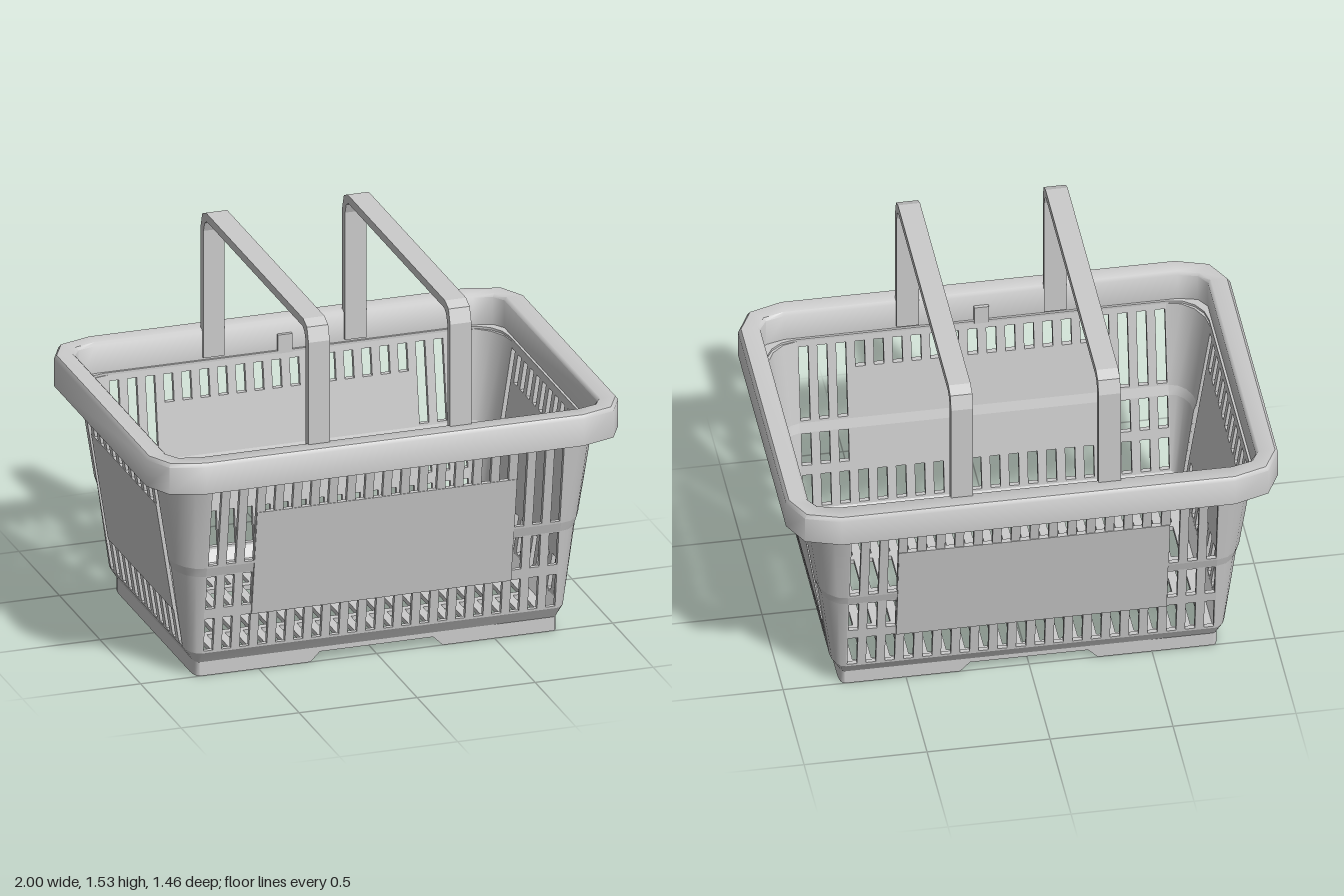
import * as THREE from 'three';
import { toCreasedNormals } from 'three/addons/utils/BufferGeometryUtils.js';

const material = new THREE.MeshStandardMaterial({ color: 0xcccccc });
const HX = 0.92, HZ = 0.65;      // half size of the body under the rim
const CX = 0.75, CZ = 0.44;      // where the flat walls end and corners begin
const THICK = 0.02, PITCH = 0.0763, SLOT = 0.04;

// Inward slope of the walls: one straight, one with a step at mid height
const straight = y => 0.155 * (0.87 - y);
function stepped(y) {
  if (y >= 0.5) return straight(y);
  if (y >= 0.46) return 0.057 + (0.5 - y) / 0.04 * 0.013;
  return 0.07 + (0.46 - y) / 0.35 * 0.048;
}
const footInset = () => 0.15;

function add(parent, name, geometry) {
  const mesh = new THREE.Mesh(geometry, material);
  mesh.name = name;
  parent.add(mesh);
  return mesh;
}

function warp(geometry, rule) {
  const p = geometry.attributes.position;
  for (let i = 0; i < p.count; i++) p.setXYZ(i, ...rule(p.getX(i), p.getY(i), p.getZ(i)));
  geometry.computeVertexNormals();
  return geometry;
}

const polygon = pts => new THREE.Shape(pts.map(([x, y]) => new THREE.Vector2(x, y)));
const rect = (x0, x1, y0, y1) => polygon([[x0, y0], [x1, y0], [x1, y1], [x0, y1]]);
const slot = (x, y0, y1) => rect(x - SLOT / 2, x + SLOT / 2, y0, y1);

// A sloping flat wall with slots, repeated on two opposite sides
function wallPair(parent, name, shape, holes, base, inset, turn) {
  shape.holes.push(...holes);
  const g = new THREE.ExtrudeGeometry(shape, { depth: THICK, bevelEnabled: false });
  warp(g, (u, y, d) => [u, y, base - inset(y) + d - THICK]);
  add(parent, name, g).rotation.y = turn;
  add(parent, name, g).rotation.y = turn + Math.PI;
}

// Four rounded corner pieces between two heights
function corners(parent, name, y0, y1, inset) {
  for (const sx of [1, -1]) for (const sz of [1, -1]) {
    const g = new THREE.BoxGeometry(1, 1, 1, 4, 1, 1);
    warp(g, (u, v, d) => {
      const a = (sx * sz > 0 ? u + 0.5 : 0.5 - u) * Math.PI / 2;
      const y = y0 + (v + 0.5) * (y1 - y0);
      const e = inset(y) + (0.5 - d) * THICK;
      return [sx * (CX + (HX - e - CX) * Math.sin(a)), y, sz * (CZ + (HZ - e - CZ) * Math.cos(a))];
    });
    add(parent, name, toCreasedNormals(g, 0.8));
  }
}

// Closed section [outset, y] swept round a rectangle with rounded corners
function ring(section, cx, cz, segs) {
  const pos = [], index = [], n = section.length, total = 4 * (segs + 1);
  for (let q = 0; q < 4; q++) for (let s = 0; s <= segs; s++) {
    const a = (q + s / segs) * Math.PI / 2;
    const sx = q < 2 ? 1 : -1, sz = q === 0 || q === 3 ? 1 : -1;
    for (const [e, y] of section) {
      pos.push(sx * cx + (HX + e - cx) * Math.sin(a), y, sz * cz + (HZ + e - cz) * Math.cos(a));
    }
  }
  for (let i = 0; i < total; i++) for (let j = 0; j < n; j++) {
    const i2 = (i + 1) % total, j2 = (j + 1) % n;
    const a = i * n + j, b = i2 * n + j, c = i2 * n + j2, d = i * n + j2;
    index.push(a, b, c, a, c, d);
  }
  const g = new THREE.BufferGeometry();
  g.setAttribute('position', new THREE.Float32BufferAttribute(pos, 3));
  g.setIndex(index);
  return toCreasedNormals(g, 0.85);
}

function group(parent, name) {
  const g = new THREE.Group();
  g.name = name;
  parent.add(g);
  return g;
}

export function createModel() {
  const model = new THREE.Group();
  model.name = 'shoppingBasket';

  // Front and back walls: slotted tiers either side of the mid-height step
  const walls = group(model, 'walls');
  const low = [], high = [];
  for (let i = 0; i < 20; i++) {
    const x = (i - 9.5) * PITCH, outer = i < 3 || i > 16;
    low.push(slot(x, 0.12, 0.265));
    if (outer) low.push(slot(x, 0.31, 0.455));
    high.push(slot(x, outer ? 0.51 : 0.73, 0.845));
  }
  wallPair(walls, 'lowerLongWall', rect(-CX, CX, 0.11, 0.46), low, HZ, stepped, 0);
  wallPair(walls, 'longWallStep', rect(-CX, CX, 0.46, 0.5), [], HZ, stepped, 0);
  wallPair(walls, 'upperLongWall', rect(-CX, CX, 0.5, 0.87), high, HZ, stepped, 0);

  // Side walls: short slots above and below, one tall slot at each end
  const side = [];
  for (let i = 0; i < 12; i++) {
    const z = (i - 5.5) * PITCH;
    if (i === 0 || i === 11) side.push(slot(z, 0.12, 0.845));
    else side.push(slot(z, 0.12, 0.26), slot(z, 0.725, 0.845));
  }
  wallPair(walls, 'shortWall', rect(-CZ, CZ, 0.11, 0.87), side, HX, straight, Math.PI / 2);

  // Smooth label panels standing just proud of the walls
  const proud = y => straight(y) - 0.003;
  wallPair(walls, 'longPanel', rect(-0.55, 0.55, 0.265, 0.73), [], HZ, proud, 0);
  wallPair(walls, 'shortPanel', rect(-0.4, 0.4, 0.26, 0.725), [], HX, proud, Math.PI / 2);

  // Rounded wall corners
  corners(walls, 'lowerCorner', 0.11, 0.46, stepped);
  corners(walls, 'cornerStep', 0.46, 0.5, stepped);
  corners(walls, 'upperCorner', 0.5, 0.87, stepped);

  // Base: tapered band, foot skirt with a notch front and back, slotted floor
  const base = group(model, 'base');
  const band = [[-0.15, 0.06], [-0.118, 0.11], [-0.138, 0.11], [-0.17, 0.06]];
  add(base, 'taperedBand', ring(band, CX, CZ, 4));
  const skirt = polygon([[-CX, 0], [-0.28, 0], [-0.24, 0.04], [0.24, 0.04], [0.28, 0],
    [CX, 0], [CX, 0.065], [-CX, 0.065]]);
  wallPair(base, 'longSkirt', skirt, [], HZ, footInset, 0);
  wallPair(base, 'shortSkirt', rect(-CZ, CZ, 0, 0.065), [], HX, footInset, Math.PI / 2);
  corners(base, 'skirtCorner', 0, 0.065, footInset);

  const floor = rect(-0.755, 0.755, -0.485, 0.485);
  for (let i = -9; i <= 9; i++) for (const z of [-0.338, -0.113, 0.113, 0.338]) {
    floor.holes.push(slot(i * PITCH, z - 0.097, z + 0.097));
  }
  const floorGeometry = new THREE.ExtrudeGeometry(floor, { depth: 0.02, bevelEnabled: false });
  add(base, 'floor', floorGeometry.rotateX(-Math.PI / 2).translate(0, 0.045, 0));

  // Rim: a hollow channel open below, sitting on a thin collar
  const rim = group(model, 'rim');
  const channel = [[0.08, 0.88], [0.08, 0.995], [0.068, 1.01], [0.002, 1.01], [-0.01, 0.998],
    [-0.01, 0.87], [0.01, 0.87], [0.01, 0.985], [0.06, 0.985], [0.06, 0.88]];
  add(rim, 'rimChannel', ring(channel, 0.8, 0.57, 2));
  const collar = [[0.022, 0.862], [0.022, 0.88], [-0.02, 0.88], [-0.02, 0.862]];
  add(rim, 'collar', ring(collar, 0.765, 0.48, 4));
  for (const s of [1, -1]) {
    const tab = add(rim, 'catchTab', new THREE.BoxGeometry(0.06, 0.08, 0.02));
    tab.position.set(0, 0.91, s * 0.635);
  }

  // Two carrying handles across the basket
  const outer = [[0.665, 0.89], [0.665, 1.45], [0.645, 1.51], [0.6, 1.53]];
  const inner = [[0.63, 0.89], [0.63, 1.44], [0.615, 1.48], [0.59, 1.495]];
  const mirrored = pts => pts.map(([x, y]) => [-x, y]);
  const outline = polygon([...outer, ...mirrored(outer).reverse(), ...mirrored(inner), ...inner.slice().reverse()]);
  const handle = new THREE.ExtrudeGeometry(outline, { depth: 0.09, bevelEnabled: false });
  handle.translate(0, 0, -0.045).rotateY(Math.PI / 2);
  add(model, 'leftHandle', handle).position.x = 0.3;
  add(model, 'rightHandle', handle).position.x = -0.3;

  return model;
}
